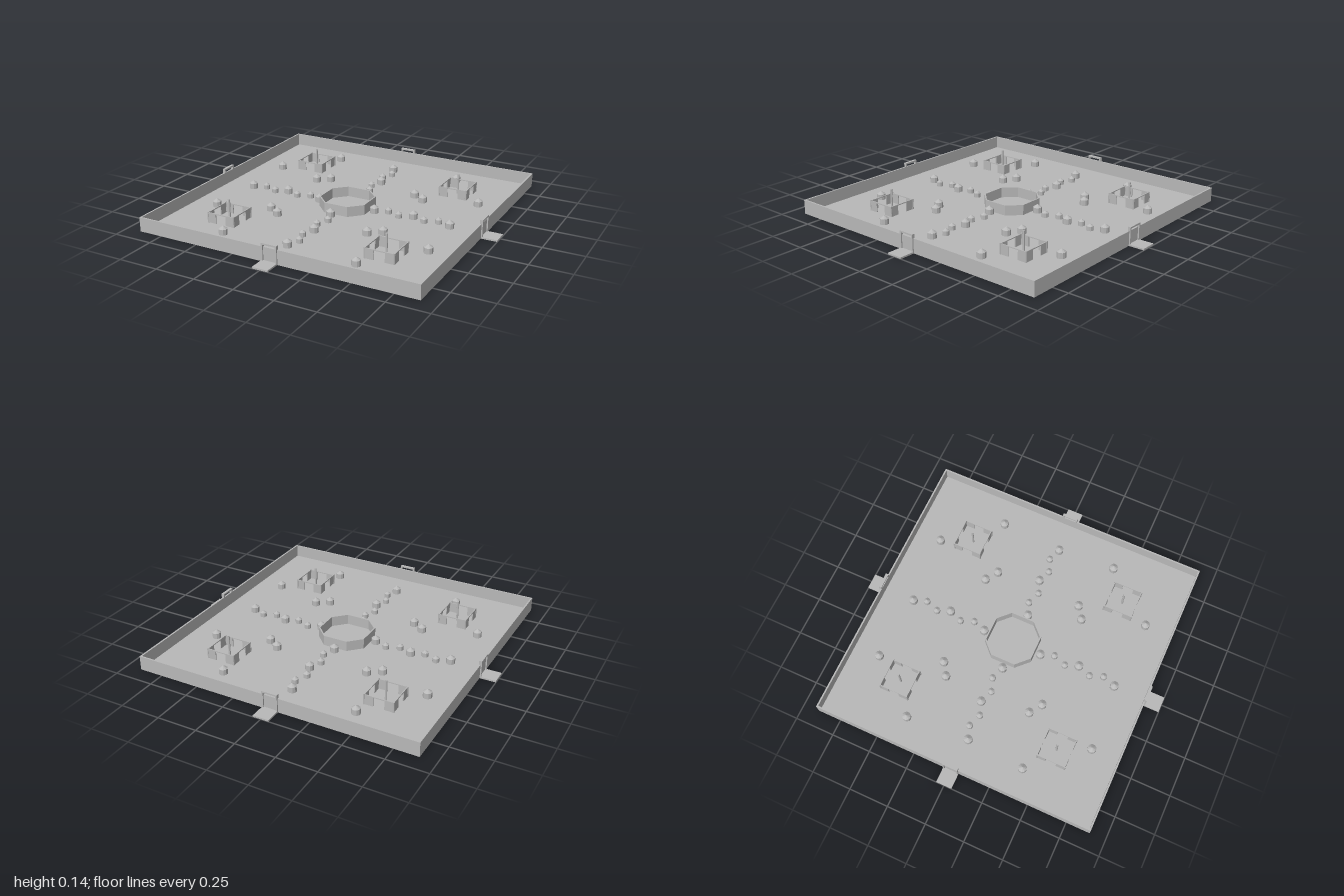
import * as THREE from 'three';

export function createModel() {
  const model = new THREE.Group();
  model.name = 'walledGarden';
  const stone = new THREE.MeshStandardMaterial({ color: 0xb8b8b8, flatShading: true });
  stone.name = 'grey stone';
  const FLOOR = 0.01;

  const add = (parent, name, geometry, x, y, z) => {
    const mesh = new THREE.Mesh(geometry, stone);
    mesh.name = name;
    mesh.position.set(x, y, z);
    parent.add(mesh);
    return mesh;
  };
  // Box and cylinder placed by the height of their underside
  const box = (parent, name, w, h, d, x, y, z) =>
    add(parent, name, new THREE.BoxGeometry(w, h, d), x, y + h / 2, z);
  const rod = (parent, name, r, h, x, y, z) =>
    add(parent, name, new THREE.CylinderGeometry(r, r, h, 8), x, y + h / 2, z);

  box(model, 'floor', 1.8, FLOOR, 1.8, 0, 0, 0);

  // Four sides: wall, gate frame and path
  for (let i = 0; i < 4; i++) {
    const side = new THREE.Group();
    side.name = 'gardenSide';
    side.rotation.y = i * Math.PI / 2;
    box(side, 'wall', 1.79, 0.08, 0.01, -0.005, FLOOR, 0.895);
    box(side, 'path', 0.1, 0.01, 0.1, 0, 0, 0.95);
    for (const s of [-1, 1]) box(side, 'gatePost', 0.01, 0.105, 0.018, s * 0.045, FLOOR, 0.899);
    box(side, 'gateLintel', 0.1, 0.01, 0.018, 0, 0.105, 0.899);
    model.add(side);
  }

  // Octagonal basin rim
  const octagon = (Target, r) => {
    const e = r / 2;
    return new Target([[r, e], [e, r], [-e, r], [-r, e], [-r, -e], [-e, -r], [e, -r], [r, -e]]
      .map(([x, y]) => new THREE.Vector2(x, y)));
  };
  const rim = octagon(THREE.Shape, 0.157);
  rim.holes.push(octagon(THREE.Path, 0.149));
  const rimGeometry = new THREE.ExtrudeGeometry(rim, { depth: 0.065, bevelEnabled: false });
  rimGeometry.rotateX(-Math.PI / 2);
  add(model, 'basinRim', rimGeometry, 0, FLOOR, 0);

  // Four open pavilions with a tall central pole
  for (const sx of [-1, 1]) for (const sz of [-1, 1]) {
    const pavilion = new THREE.Group();
    pavilion.name = 'pavilion';
    pavilion.position.set(sx * 0.525, FLOOR, sz * 0.525);
    rod(pavilion, 'centrePole', 0.007, 0.133, 0, 0, 0);
    for (let i = 0; i < 4; i++) {
      const side = new THREE.Group();
      side.name = 'pavilionSide';
      side.rotation.y = i * Math.PI / 2;
      for (const s of [-1, 1]) box(side, 'panel', 0.055, 0.058, 0.006, s * 0.0625, 0, 0.09);
      box(side, 'lintel', 0.18, 0.006, 0.006, 0, 0.058, 0.09);
      rod(side, 'cornerPost', 0.006, 0.067, 0.09, 0, 0.09);
      pavilion.add(side);
    }
    model.add(pavilion);
  }

  // Shrubs: a short drum under a low cone
  const shrub = (r, x, z) => {
    const profile = [[0, 0], [r, 0], [r, r * 1.3], [0, r * 2]].map(([a, b]) => new THREE.Vector2(a, b));
    add(model, 'shrub', new THREE.LatheGeometry(profile, 10), x, FLOOR, z);
  };

  // Staggered rows along both axes
  for (let i = 0; i < 7; i++) {
    const d = 0.193 + i * 0.083;
    const r = i % 3 === 0 ? 0.027 : 0.021;
    const offset = i % 2 === 0 ? 0.015 : -0.015;
    for (const s of [-1, 1]) {
      shrub(r, -offset, s * d);
      shrub(r, s * d, offset);
    }
  }
  // Shrubs around each pavilion
  for (const [x, z] of [[0.437, 0.718], [0.717, 0.386], [0.385, 0.282], [0.307, 0.334]]) {
    for (const sx of [-1, 1]) for (const sz of [-1, 1]) shrub(0.027, sx * x, sz * z);
  }
  return model;
}
